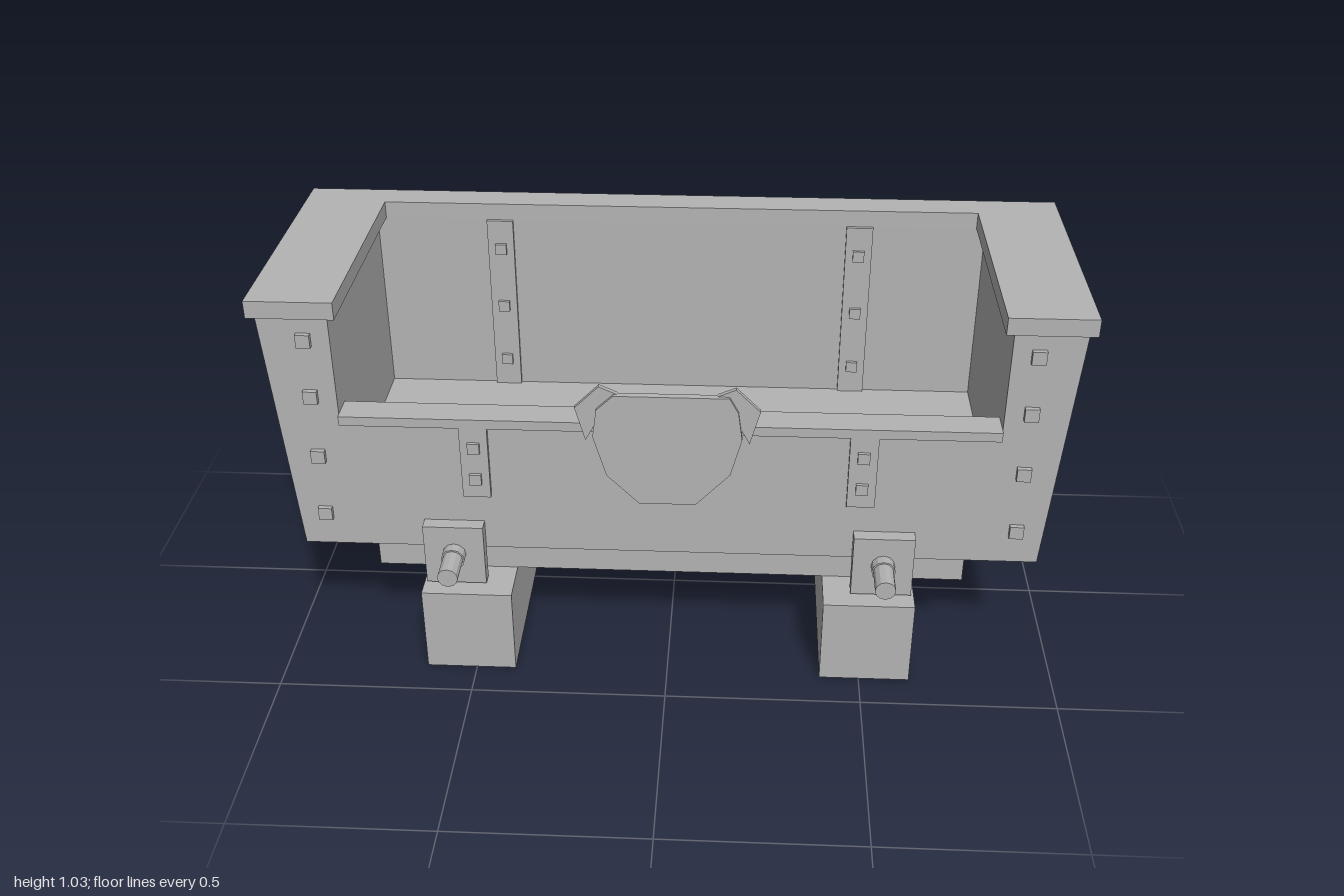
import * as THREE from 'three';

export function createModel() {
  const root = new THREE.Group();
  const grey = new THREE.MeshStandardMaterial({ color: 0xb4b4b4, flatShading: true });
  grey.name = 'plain grey';

  const add = (name, geo, x = 0, y = 0, z = 0) => {
    const mesh = new THREE.Mesh(geo, grey);
    mesh.name = name;
    mesh.position.set(x, y, z);
    root.add(mesh);
    return mesh;
  };
  // Box given by its limits on each axis
  const box = (name, x0, x1, y0, y1, z0, z1) => add(name,
    new THREE.BoxGeometry(x1 - x0, y1 - y0, z1 - z0), (x0 + x1) / 2, (y0 + y1) / 2, (z0 + z1) / 2);
  const prism = (pts, depth) => new THREE.ExtrudeGeometry(
    new THREE.Shape(pts.map(p => new THREE.Vector2(...p))), { depth, bevelEnabled: false });

  // Tub: U-shaped ends and floor, tall back wall, low front wall
  const B = 0.935, T = 0.985, I = 0.81, FLOOR = 0.49;
  add('tubEndsAndFloor', prism([[-B, 0.33], [B, 0.33], [T, 0.985], [I, 0.985], [I, FLOOR],
    [-I, FLOOR], [-I, 0.985], [-T, 0.985]], 0.585), 0, 0, -0.26);
  add('backWall', prism([[-B, 0.33], [B, 0.33], [T, 0.985], [-T, 0.985]], 0.065), 0, 0, -0.325);
  box('frontWall', -I, I, FLOOR, 0.69, 0.265, 0.325);
  box('frontSill', -I, I, 0.69, 0.715, 0.26, 0.338);

  // Top rim, open toward the front
  const rim = add('rim', prism([[-1, -0.345], [1, -0.345], [1, 0.347], [0.787, 0.347],
    [0.787, -0.26], [-0.787, -0.26], [-0.787, 0.347], [-1, 0.347]], 0.045), 0, 1.03, 0);
  rim.rotation.x = Math.PI / 2;

  const slope = Math.atan2(T - B, 0.655);
  const bolt = 0.035;
  for (const s of [-1, 1]) {
    // Corner bolts on the front and on the sloping ends
    for (const y of [0.425, 0.595, 0.765, 0.92]) {
      add('frontBolt', new THREE.BoxGeometry(bolt, bolt, 0.026), s * 0.873, y, 0.325);
      for (const z of [-0.257, 0.257]) {
        const x = B + (y - 0.33) * (T - B) / 0.655;
        add('endBolt', new THREE.BoxGeometry(0.024, bolt, bolt), s * x, y, z).rotation.z = -s * slope;
      }
    }

    // Straps on the front wall and inside the back wall
    const x = s * 0.48;
    box('frontStrap', x - 0.035, x + 0.035, 0.49, 0.69, 0.325, 0.337);
    for (const y of [0.545, 0.635])
      add('strapBolt', new THREE.BoxGeometry(0.03, 0.03, 0.012), x, y, 0.34);
    box('innerStrap', x - 0.035, x + 0.035, FLOOR, 0.985, -0.26, -0.25);
    for (const y of [0.57, 0.735, 0.905])
      add('innerStrapBolt', new THREE.BoxGeometry(0.03, 0.03, 0.012), x, y, -0.247);

    // Drain ring on each end
    const ring = add('drainRing', new THREE.LatheGeometry([[0.031, 0], [0.047, 0], [0.047, 0.022],
      [0.043, 0.028], [0.035, 0.028], [0.031, 0.022], [0.031, 0]]
      .map(p => new THREE.Vector2(...p)), 12), s * 0.929, 0.39, 0);
    ring.rotation.z = -s * (Math.PI / 2 + slope);

    // Supports: cross block, long beam, axle with collars and plates
    box('crossBlock', s * 0.514 - 0.116, s * 0.514 + 0.116, 0, 0.235, -0.405, 0.405);
    box('longBeam', -0.76, 0.76, 0.235, 0.33, s * 0.233 - 0.047, s * 0.233 + 0.047);
    const ax = s * 0.545;
    add('axle', new THREE.CylinderGeometry(0.026, 0.026, 0.934, 12), ax, 0.33, 0).rotation.x = Math.PI / 2;
    for (const f of [-1, 1]) {
      box('axlePlate', ax - 0.077, ax + 0.077, 0.24, 0.41, f * 0.3425 - 0.0175, f * 0.3425 + 0.0175);
      add('axleCollar', new THREE.CylinderGeometry(0.03, 0.03, 0.03, 12), ax, 0.33, f * 0.373)
        .rotation.x = Math.PI / 2;
    }

    // Ear of the front badge
    const ear = [[0.12, 0.805], [0.165, 0.825], [0.225, 0.765], [0.2, 0.675], [0.165, 0.74]];
    const pts = ear.map(([px, py]) => [s * px, py]);
    add('badgeEar', prism(pts, 0.013), 0, 0, 0.339);
  }

  // Animal head badge on the front wall
  add('badgeHead', prism([[-0.13, 0.805], [0.15, 0.805], [0.172, 0.765], [0.182, 0.69], [0.155, 0.59],
    [0.07, 0.5], [-0.07, 0.5], [-0.15, 0.58], [-0.182, 0.69], [-0.172, 0.765]], 0.018), 0, 0, 0.343);
  box('badgeMount', -0.1, 0.1, 0.56, 0.68, 0.325, 0.344);

  return root;
}
